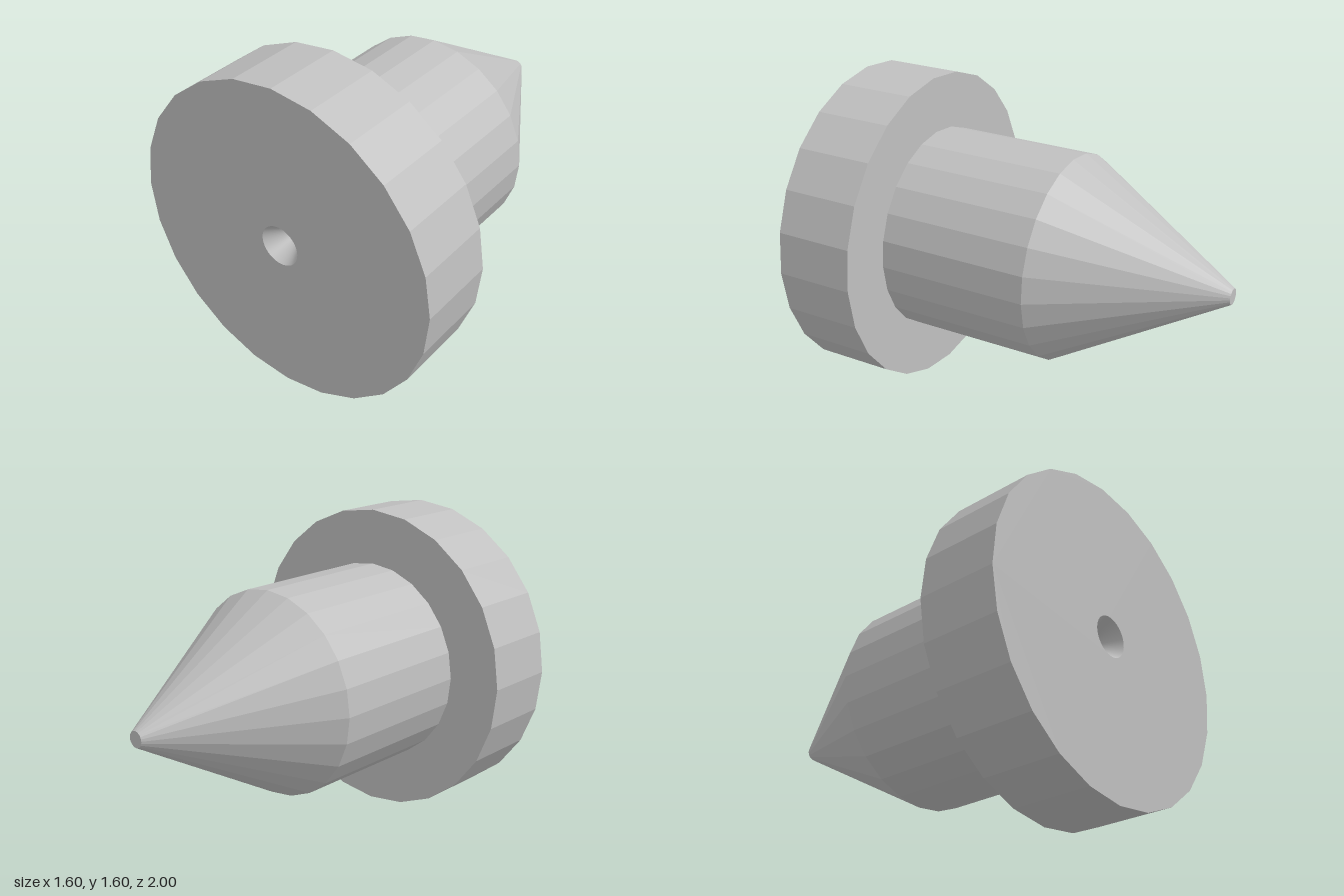
import * as THREE from 'three';

const SIDES = 24;
const TWIST = THREE.MathUtils.degToRad(-1.2);
const HOLE_RADIUS = 0.1;
const HOLE_DEPTH = 0.17;

const metal = new THREE.MeshStandardMaterial({ color: 0xc0c0c0 });
metal.name = 'plain grey';

// Give every facet its own normal
function faceted(geometry) {
  const flat = geometry.toNonIndexed();
  flat.computeVertexNormals();
  return flat;
}

// Faceted section along z, from the front radius to the back radius
function section(frontRadius, backRadius, frontZ, backZ) {
  const g = new THREE.CylinderGeometry(frontRadius, backRadius, frontZ - backZ, SIDES, 1, true);
  g.rotateX(Math.PI / 2);
  g.translate(0, 0, (frontZ + backZ) / 2);
  return faceted(g);
}

// Flat face looking towards the back
function backFace(inner, outer, z) {
  const g = inner > 0
    ? new THREE.RingGeometry(inner, outer, SIDES, 1)
    : new THREE.CircleGeometry(outer, SIDES);
  g.rotateY(Math.PI);
  g.translate(0, 0, z);
  return g;
}

// Front disc with a round opening
function frontFace(radius, z) {
  const corners = [];
  for (let i = 0; i < SIDES; i++) {
    const a = (i / SIDES) * Math.PI * 2;
    corners.push(new THREE.Vector2(Math.cos(a) * radius, Math.sin(a) * radius));
  }
  const shape = new THREE.Shape(corners);
  shape.holes.push(new THREE.Path().absarc(0, 0, HOLE_RADIUS, 0, Math.PI * 2, true));
  return new THREE.ShapeGeometry(shape, 24).translate(0, 0, z);
}

export function createModel() {
  const model = new THREE.Group();
  model.name = 'pointedPlug';

  const add = (name, geometry) => {
    const mesh = new THREE.Mesh(geometry, metal);
    mesh.name = name;
    model.add(mesh);
  };

  // Wide flange at the front
  add('flangeRim', section(0.8, 0.8, 1, 0.6));
  add('flangeFront', frontFace(0.8, 1));
  add('flangeBack', backFace(0.52, 0.8, 0.6));

  // Conical centre hole, seen from inside
  const dimple = new THREE.LatheGeometry(
    [new THREE.Vector2(HOLE_RADIUS, 0), new THREE.Vector2(0, -HOLE_DEPTH)], 48);
  dimple.rotateX(Math.PI / 2);
  dimple.translate(0, 0, 1);
  add('centreHole', dimple);

  // Straight shaft and tapered point with a small flat end
  add('shaft', section(0.52, 0.52, 0.6, -0.17));
  add('point', section(0.52, 0.04, -0.17, -1));
  add('pointEnd', backFace(0, 0.04, -1));

  model.rotation.z = TWIST;
  model.position.y = 0.8;
  return model;
}
